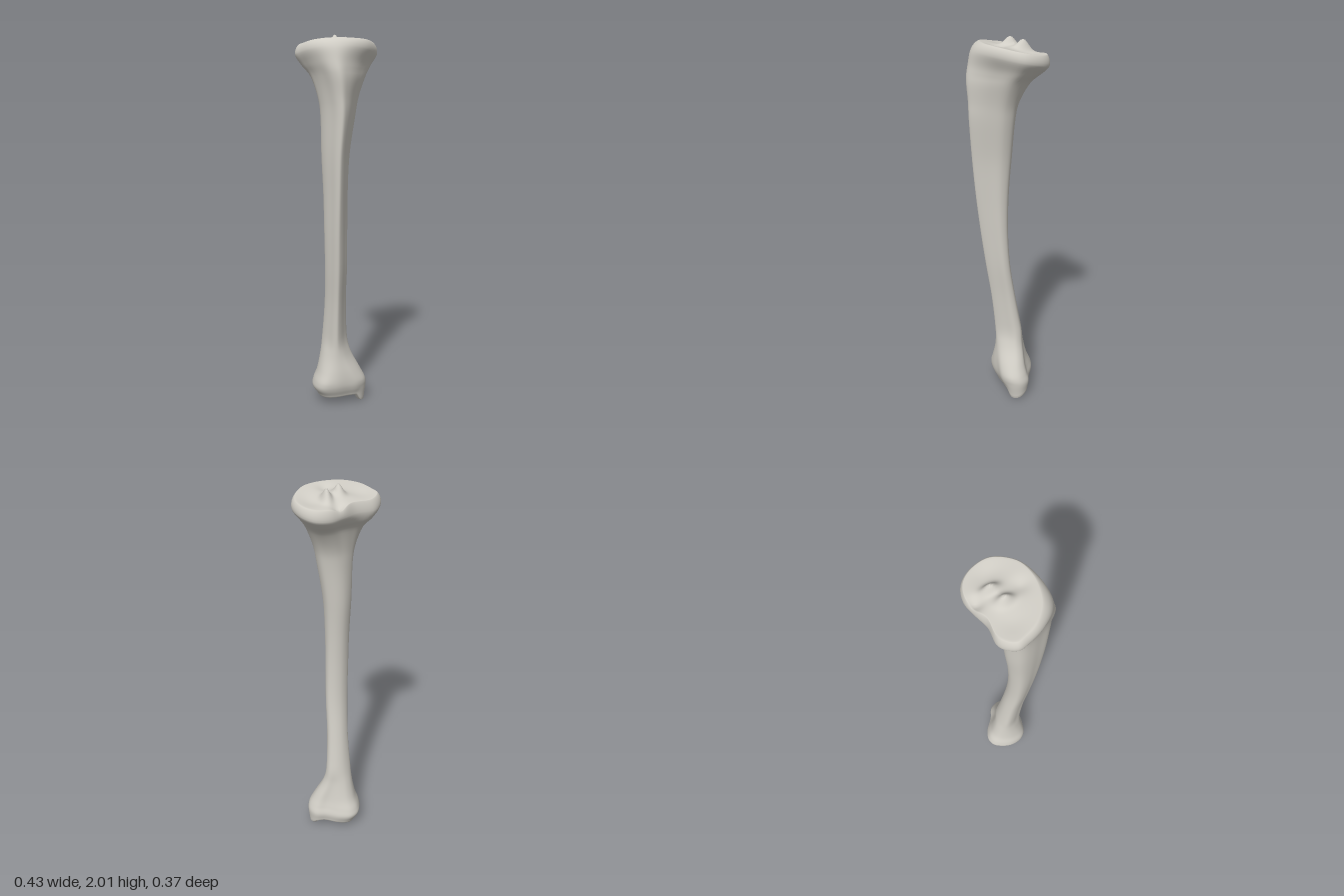
import * as THREE from 'three';

const SIDES = 72;

// Cross-section outlines, 14 x,z pairs: left edge, round the front, right edge, back.
const outlines = [
  // ankle
  [-.135, -.04, -.12, .02, -.09, .05, -.03, .06, .04, .052, .1, .045, .15, .01, .165, -.04,
    .14, -.09, .08, -.115, .01, -.16, -.05, -.175, -.095, -.155, -.125, -.1],
  // shaft
  [-1, -.25, -.9, .1, -.65, .5, -.38, .88, -.12, 1, .2, .8, .62, .3, 1, -.25,
    .9, -.7, .5, -.93, .1, -1, -.3, -.95, -.7, -.75, -.95, -.5],
  // flare under the knee
  [-1, -.3, -.92, .05, -.75, .45, -.52, .85, -.25, 1, .12, .82, .6, .4, 1, -.1,
    .95, -.6, .7, -.95, .35, -1, 0, -.85, -.4, -.75, -.8, -.7],
  // knee plateau
  [-.215, -.05, -.2, 0, -.165, .06, -.1, .105, -.03, .12, .06, .115, .15, .075, .217, -.03,
    .2, -.12, .15, -.175, .08, -.19, 0, -.165, -.06, -.13, -.16, -.115],
].map(normalisedOutline);

// Levels from foot to knee: y, xMin, xMax, zMin, zMax, outline index (blended).
const levels = [
  [.06, -.105, .16, -.155, .035, 0],
  [.10, -.133, .168, -.175, .056, 0],
  [.14, -.13, .16, -.165, .064, 0],
  [.20, -.11, .13, -.14, .062, .2],
  [.30, -.09, .08, -.115, .05, .6],
  [.40, -.08, .06, -.095, .05, 1],
  [.60, -.073, .046, -.06, .07, 1],
  [.80, -.078, .044, -.03, .1, 1],
  [1.0, -.085, .04, -.02, .126, 1],
  [1.2, -.09, .04, -.025, .148, 1],
  [1.4, -.098, .05, -.04, .165, 1],
  [1.6, -.102, .08, -.05, .18, 1.1],
  [1.7, -.115, .1, -.065, .182, 1.4],
  [1.8, -.145, .14, -.108, .186, 1.9],
  [1.86, -.185, .178, -.155, .173, 2.2],
  [1.92, -.217, .216, -.188, .155, 2.7],
  [1.965, -.195, .2, -.178, .115, 3],
];

// Scale a smooth closed outline into a -1..1 box.
function normalisedOutline(flat) {
  const pts = [];
  for (let i = 0; i < flat.length; i += 2) pts.push(new THREE.Vector3(flat[i], 0, flat[i + 1]));
  const curve = new THREE.CatmullRomCurve3(pts, true);
  const ring = Array.from({ length: SIDES }, (_, j) => curve.getPoint(j / SIDES));
  const box = new THREE.Box3().setFromPoints(ring);
  const mid = box.getCenter(new THREE.Vector3()), size = box.getSize(new THREE.Vector3());
  return ring.map(p => [2 * (p.x - mid.x) / size.x, 2 * (p.z - mid.z) / size.z]);
}

function spline(a, b, c, d, t) {
  return b + .5 * t * (c - a + t * (2 * a - 5 * b + 4 * c - d + t * (3 * (b - c) + d - a)));
}

function bump(x, z, cx, cz, rx, rz) {
  return Math.exp(-(((x - cx) / rx) ** 2) - ((z - cz) / rz) ** 2);
}

// Joint surface of the knee: tilted, with a dish, two spines and notches.
function kneeHeight(x, z) {
  return 1.967 + .18 * z
    + .04 * bump(x, z, -.012, -.03, .022, .035)
    + .046 * bump(x, z, .06, -.075, .02, .035)
    + .012 * bump(x, z, .02, -.05, .07, .04)
    - .014 * bump(x, z, .13, -.06, .06, .07)
    - .008 * bump(x, z, -.11, -.03, .06, .06)
    - .012 * bump(x, z, .03, .05, .035, .04)
    - .022 * bump(x, z, .025, -.15, .03, .035);
}

// Joint surface of the ankle: shallow arch and the hanging inner knob.
function ankleHeight(x, z) {
  const d = ((x - .134) / .034) ** 2 + ((z + .025) / .05) ** 2;
  return .052 + .018 * bump(x, z, .03, -.05, .07, .05) - .05 * Math.exp(-d * d * .8)
    - .008 * bump(x, z, -.06, -.14, .05, .03);
}

// One ring at a position along the level table.
function ringAt(u) {
  const last = levels.length - 1;
  const i = Math.min(Math.floor(u), last - 1), t = u - i;
  const row = k => levels[THREE.MathUtils.clamp(k, 0, last)];
  const [y, x0, x1, z0, z1, s] = levels[0].map((_, k) =>
    spline(row(i - 1)[k], row(i)[k], row(i + 1)[k], row(i + 2)[k], t));
  const shape = THREE.MathUtils.clamp(s, 0, 3);
  const a = Math.min(Math.floor(shape), 2), f = shape - a;
  const tilt = .2 * THREE.MathUtils.smoothstep(y, 1.78, 1.93);
  return outlines[a].map((p, j) => {
    const q = outlines[a + 1][j];
    const px = THREE.MathUtils.lerp(p[0], q[0], f), pz = THREE.MathUtils.lerp(p[1], q[1], f);
    const x = (x0 + x1) / 2 + px * (x1 - x0) / 2;
    const z = (z0 + z1) / 2 + pz * (z1 - z0) / 2;
    let h = y + tilt * z;
    if (i === 0) h = THREE.MathUtils.lerp(ankleHeight(x, z), levels[1][0], t);
    if (i === last - 1) {
      h = THREE.MathUtils.lerp(levels[i][0] + tilt * z, kneeHeight(x, z), Math.sin(t * Math.PI / 2));
    }
    return [x, h, z];
  });
}

// Shrink a rim toward a centre, following a joint surface.
function capRing(rim, scale, cx, cz, height) {
  return rim.map(([px, , pz]) => {
    const x = cx + (px - cx) * scale, z = cz + (pz - cz) * scale;
    return [x, height(x, z), z];
  });
}

function boneGeometry() {
  const perLevel = 6, capSteps = 22, rings = [];
  const count = (levels.length - 1) * perLevel;
  const bottom = ringAt(0), top = ringAt(levels.length - 1);
  for (let k = 0; k < capSteps; k++) rings.push(capRing(bottom, k / capSteps, .02, -.055, ankleHeight));
  for (let k = 0; k <= count; k++) rings.push(ringAt(k / perLevel));
  for (let k = capSteps - 1; k >= 0; k--) rings.push(capRing(top, k / capSteps, .01, -.04, kneeHeight));

  const index = [];
  for (let i = 0; i < rings.length - 1; i++) {
    for (let j = 0; j < SIDES; j++) {
      const n = (j + 1) % SIDES;
      const a = i * SIDES + j, b = i * SIDES + n, c = b + SIDES, d = a + SIDES;
      index.push(a, b, c, a, c, d);
    }
  }
  const geometry = new THREE.BufferGeometry();
  geometry.setAttribute('position', new THREE.Float32BufferAttribute(rings.flat(2), 3));
  geometry.setIndex(index);
  geometry.computeVertexNormals();
  return geometry;
}

export function createModel() {
  const group = new THREE.Group();
  group.name = 'shinBone';
  const bone = new THREE.MeshStandardMaterial({ color: 0xd0cdc5 });
  bone.name = 'bone';
  const mesh = new THREE.Mesh(boneGeometry(), bone);
  mesh.name = 'boneBody';
  group.add(mesh);
  return group;
}
